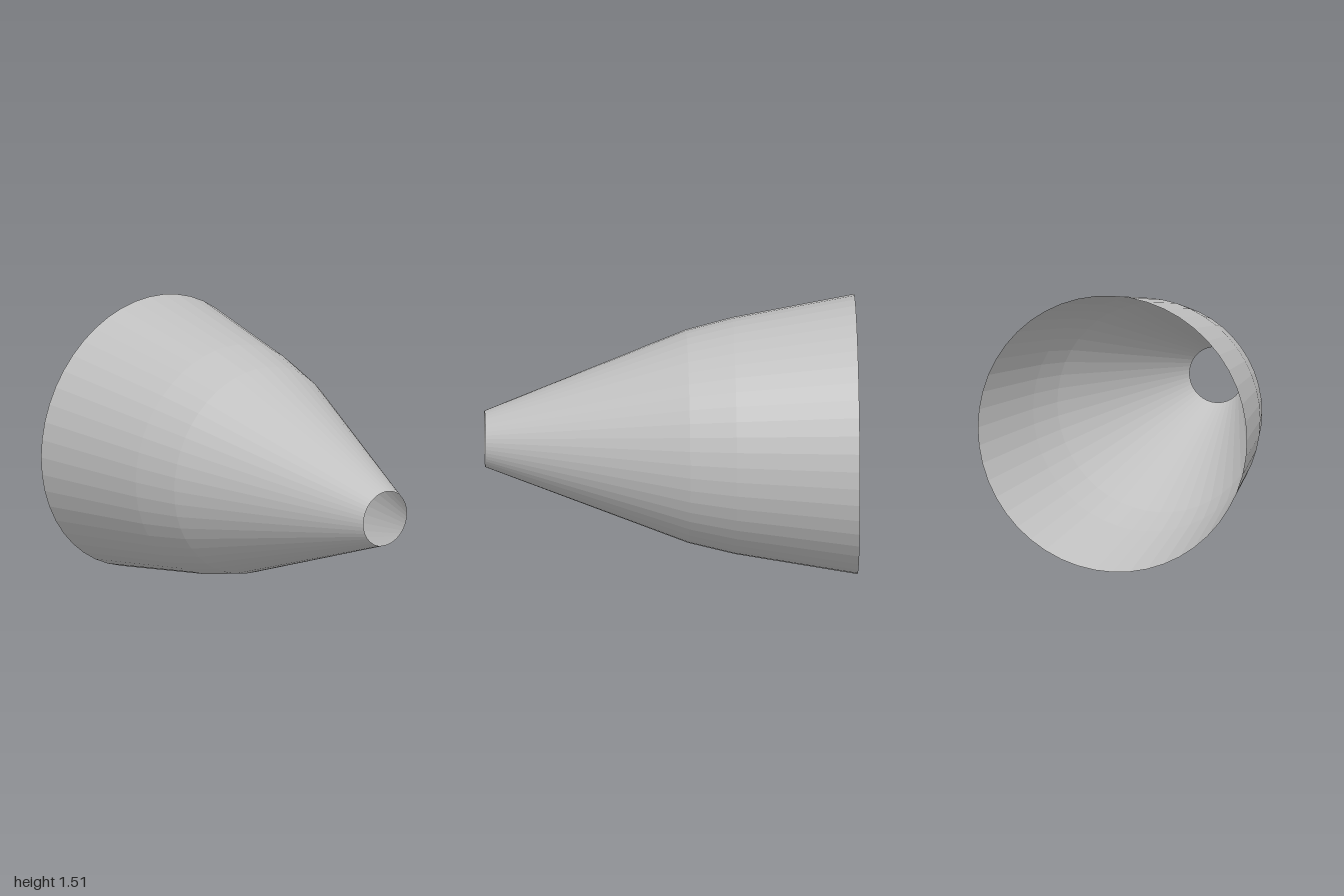
import * as THREE from 'three';

export function createModel() {
  const group = new THREE.Group();
  const grey = new THREE.MeshStandardMaterial({ color: 0xc0c0c0, flatShading: true, side: THREE.DoubleSide });
  grey.name = 'light grey';

  // Profile of the open tapered shell: radius, position along the axis
  const profile = [[0.755, -1], [0.638, -0.34], [0.575, -0.09], [0.152, 1]]
    .map(([r, z]) => new THREE.Vector2(r, z));

  // Faceted shell, open at both ends, axis turned to face the front
  const geometry = new THREE.LatheGeometry(profile, 48);
  geometry.rotateX(Math.PI / 2);
  const shell = new THREE.Mesh(geometry, grey);
  shell.name = 'taperedShell';
  shell.position.y = 0.76;
  group.add(shell);
  return group;
}
